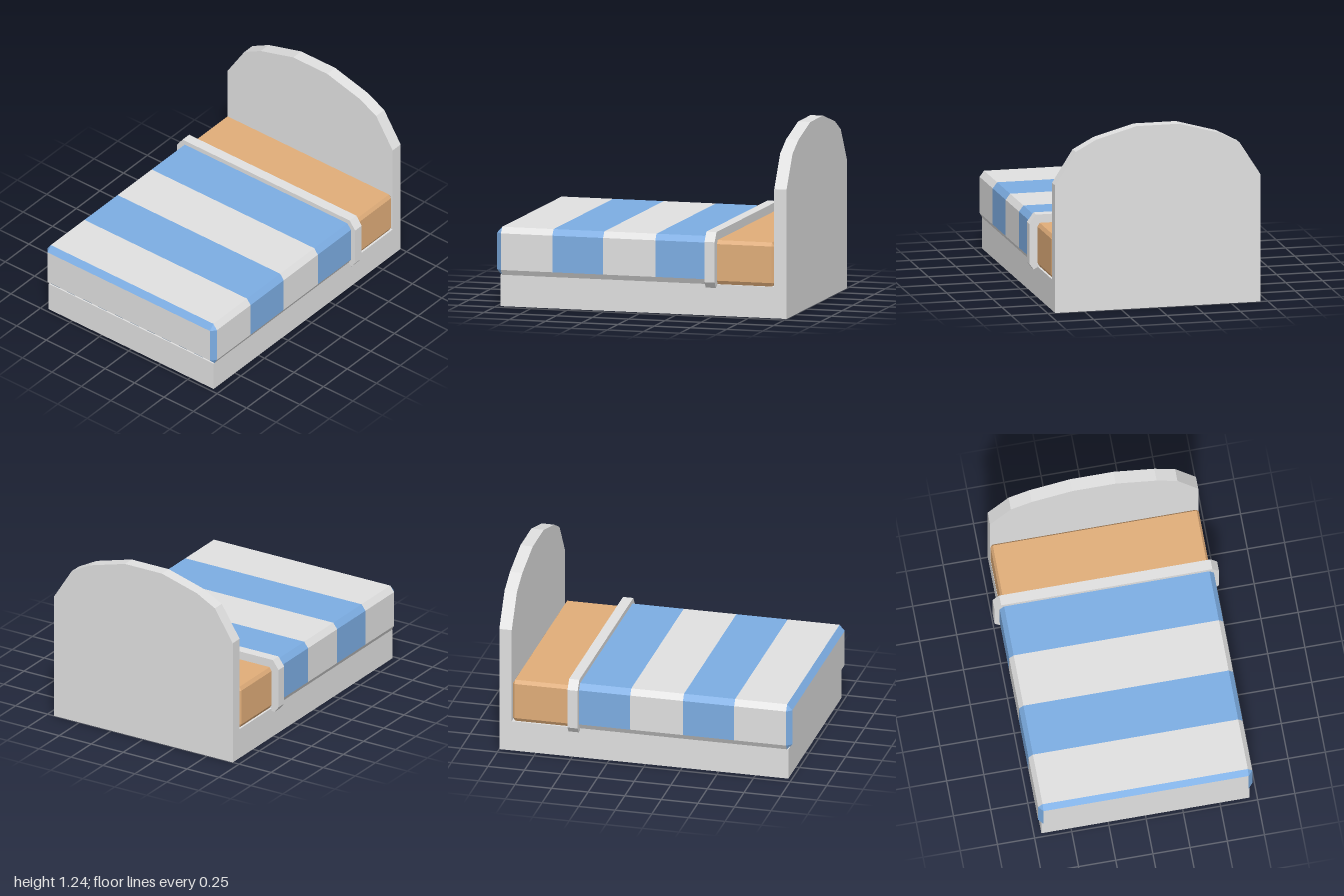
import * as THREE from 'three';

const paint = (name, color) => {
  const m = new THREE.MeshStandardMaterial({ color });
  m.name = name;
  return m;
};

// Mirrors the right half of a cross-section (bottom to top) into a full ring
const ring = (z, half) => {
  const mirrored = half.map(([x, y]) => [-x, y]).reverse();
  return [...half, ...mirrored].map(([x, y]) => new THREE.Vector3(x, y, z));
};

// Flat-faced skin over rings running from back to front, with both ends closed.
// slot(segment, edge) picks the material; the end caps use slot 0.
function skin(rings, materials, slot = () => 0) {
  const buckets = materials.map(() => []);
  const area = new THREE.Triangle();
  const tri = (s, a, b, c) => {
    if (area.set(a, b, c).getArea() > 1e-7) buckets[s].push(a, b, c);
  };
  const n = rings[0].length;
  for (let i = 0; i < rings.length - 1; i++) {
    const a = rings[i], b = rings[i + 1];
    for (let j = 0; j < n; j++) {
      const k = (j + 1) % n, s = slot(i, j);
      tri(s, a[j], a[k], b[k]);
      tri(s, a[j], b[k], b[j]);
    }
  }
  const back = rings[0], front = rings[rings.length - 1];
  for (let j = 1; j < n - 1; j++) {
    tri(0, back[0], back[j + 1], back[j]);
    tri(0, front[0], front[j], front[j + 1]);
  }
  const geometry = new THREE.BufferGeometry().setFromPoints(buckets.flat());
  let start = 0;
  buckets.forEach((points, s) => {
    geometry.addGroup(start, points.length, s);
    start += points.length;
  });
  geometry.computeVertexNormals();
  return new THREE.Mesh(geometry, materials);
}

export function createModel() {
  const bed = new THREE.Group();
  bed.name = 'bed';
  const grey = paint('light grey', 0xe0e0e0);
  const blue = paint('blanket blue', 0x7cade3);
  const tan = paint('mattress tan', 0xe0ad79);
  const add = (name, mesh) => {
    mesh.name = name;
    bed.add(mesh);
  };

  // Base block
  const base = new THREE.Mesh(new THREE.BoxGeometry(1.4, 0.21, 1.89), grey);
  base.position.set(0, 0.105, 0.03);
  add('base', base);

  // Headboard with a faceted arch
  const arch = [[0.7, 0], [0.7, 0.865], [0.56, 1.085], [0.42, 1.16], [0.145, 1.237]];
  add('headboard', skin([ring(-1, arch), ring(-0.915, arch)], [grey]));

  // Mattress end with bevelled edges
  const mattress = [[0.685, 0.21], [0.7, 0.235], [0.7, 0.48], [0.685, 0.505]];
  const mattressEnd = [[0.685, 0.235], [0.685, 0.235], [0.685, 0.48], [0.685, 0.48]];
  add('mattress', skin(
    [ring(-0.91, mattressEnd), ring(-0.895, mattress), ring(-0.47, mattress)], [tan]));

  // Striped blanket: the underside stays grey, the foot bevel is blue
  const blanket = [[0.7, 0.21], [0.72, 0.245], [0.72, 0.49], [0.69, 0.53]];
  const blanketEnd = [[0.69, 0.245], [0.69, 0.245], [0.69, 0.49], [0.69, 0.49]];
  const stripes = [-0.46, -0.1, 0.26, 0.61, 0.965];
  const isBlue = (i, j) => i === 4 || (i % 2 === 0 && j >= 1 && j <= 5);
  add('blanket', skin(
    [...stripes.map((z) => ring(z, blanket)), ring(1, blanketEnd)],
    [grey, blue], (i, j) => (isBlue(i, j) ? 1 : 0)));

  // Folded-over band at the head of the blanket
  const fold = [[0.7, 0.205], [0.725, 0.19], [0.755, 0.23], [0.755, 0.5], [0.71, 0.562]];
  add('blanketFold', skin([ring(-0.52, fold), ring(-0.45, fold)], [grey]));

  return bed;
}
